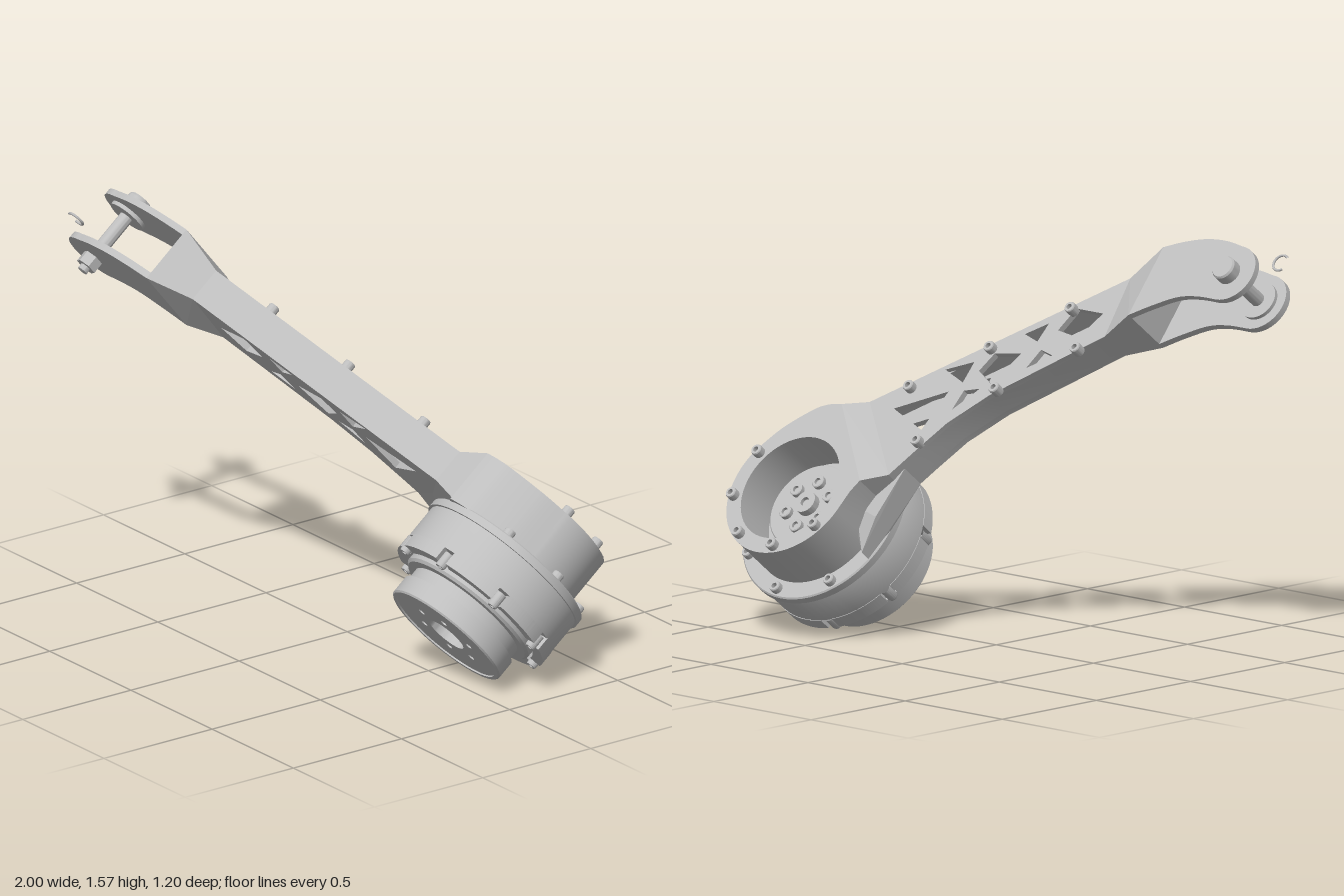
import * as THREE from 'three';
import { toCreasedNormals } from 'three/addons/utils/BufferGeometryUtils.js';
import { ConvexGeometry } from 'three/addons/geometries/ConvexGeometry.js';

const metal = new THREE.MeshStandardMaterial({ color: 0xbebebe });
metal.name = 'satin grey metal';

const CX = 0.65, CY = 0.19;            // motor axis
const PX = -0.885, PY = 1.372;         // fork pivot
const BACK = -0.63, FRONT = -0.49;     // arm faces

const vec = (pts) => pts.map(([x, y]) => new THREE.Vector2(x, y));

export function createModel() {
  const model = new THREE.Group();
  model.name = 'actuatedArm';
  const arm = new THREE.Group();
  arm.name = 'tiltedAssembly';
  arm.rotation.x = THREE.MathUtils.degToRad(39);
  arm.position.set(0, -0.01, -0.008);
  model.add(arm);

  const add = (name, geo, x = 0, y = 0, z = 0) => {
    const mesh = new THREE.Mesh(geo, metal);
    mesh.name = name;
    mesh.position.set(x, y, z);
    arm.add(mesh);
    return mesh;
  };
  // Plate cut from a shape, between two depths
  const plate = (name, shape, z0, z1, x = 0, y = 0) => {
    const geo = new THREE.ExtrudeGeometry(shape, { depth: z1 - z0, bevelEnabled: false, curveSegments: 28 });
    return add(name, toCreasedNormals(geo, 0.5), x, y, z0);
  };
  // Turned part; profile points are [radius, depth], facing front or back
  const turned = (name, pts, x, y, z = 0, facing = 1, seg = 64) => {
    const geo = new THREE.LatheGeometry(vec(pts), seg);
    geo.rotateX(facing * Math.PI / 2);
    return add(name, toCreasedNormals(geo, 0.5), x, y, z);
  };
  // Socket-head screw
  const screw = (name, x, y, z, facing, r = 0.022, h = 0.03) =>
    turned(name, [[r, -0.01], [r, h * 0.85], [r * 0.88, h], [r * 0.5, h], [r * 0.5, h * 0.4], [0, h * 0.4]],
      x, y, z, facing, 18);
  const polar = (r, deg) => {
    const a = THREE.MathUtils.degToRad(deg);
    return [CX + r * Math.cos(a), CY + r * Math.sin(a)];
  };
  const circle = (x, y, r) => new THREE.Path().absarc(x, y, r, 0, Math.PI * 2, true);
  const hull = (name, sections) => {
    const pts = sections.flatMap(([low, high, z0, z1]) => [low, high].flatMap(([x, y]) =>
      [new THREE.Vector3(x, y, z0), new THREE.Vector3(x, y, z1)]));
    return add(name, new ConvexGeometry(pts));
  };

  // Hollow truss beam: two windowed faces and two edge walls
  const lowEdge = [[-0.4, 1.05], [0, 0.73], [0.13, 0.59], [0.21, 0.46], [0.28, 0.34]];
  const highEdge = [[0.545, 0.615], [0.15, 0.908], [-0.38, 1.3]];
  const beam = new THREE.Shape(vec([...lowEdge, ...highEdge]));
  const windows = [
    [[0.2, 0.715], [0.415, 0.607], [0.235, 0.543]],
    [[0.15, 0.852], [0.267, 0.8], [0.155, 0.762]],
    [[0.06, 0.75], [0.13, 0.73], [0.14, 0.646]],
    [[-0.05, 0.92], [0.075, 0.9], [0.107, 0.82], [0.02, 0.777]],
    [[-0.107, 1.06], [-0.02, 1.0], [-0.096, 0.98]],
    [[-0.2, 0.936], [-0.134, 0.95], [-0.107, 0.865]],
    [[-0.337, 1.14], [-0.2, 1.14], [-0.166, 1.04], [-0.278, 1.026]],
  ];
  windows.forEach((w) => beam.holes.push(new THREE.Path(vec(w))));
  plate('beamBackFace', beam, BACK, BACK + 0.025);
  plate('beamFrontFace', beam, FRONT - 0.025, FRONT);
  const wall = (edge, dx, dy) => plate('beamEdgeWall',
    new THREE.Shape(vec([...edge, ...edge.map(([x, y]) => [x + dx, y + dy]).reverse()])), BACK + 0.02, FRONT - 0.02);
  wall(lowEdge, 0.018, 0.02);
  wall(highEdge, -0.015, -0.02);
  [[0.214, 0.49], [0.38, 0.7], [-0.027, 0.755], [0.096, 0.915], [-0.31, 0.975], [-0.19, 1.13]]
    .forEach(([x, y]) => screw('beamScrew', x, y, BACK, -1));

  // Flared neck leading to the fork
  hull('forkNeck', [
    [[-0.4, 1.05], [-0.38, 1.3], BACK, FRONT],
    [[-0.513, 1.13], [-0.513, 1.425], -0.683, -0.445],
  ]);

  // Two fork prongs
  const prong = new THREE.Shape();
  prong.moveTo(-0.513, 1.13);
  prong.splineThru(vec([[-0.6, 1.185], [-0.7, 1.237], [-0.79, 1.255], [PX, PY - 0.115]]));
  prong.absarc(PX, PY, 0.115, -Math.PI / 2, Math.PI / 2, true);
  prong.splineThru(vec([[-0.8, 1.497], [-0.7, 1.49], [-0.6, 1.462], [-0.513, 1.425]]));
  plate('backProng', prong, -0.683, -0.658);
  plate('frontProng', prong, -0.472, -0.445);

  // Pivot bolt, washers, nut and retaining clip
  turned('pivotBolt', [[0, -0.73], [0.043, -0.73], [0.048, -0.722], [0.048, -0.675], [0.027, -0.675],
    [0.027, -0.44], [0.02, -0.44], [0.02, -0.38], [0, -0.375]], PX, PY, 0, 1, 32);
  [[-0.658, -0.643], [-0.487, -0.472]].forEach(([a, b]) =>
    turned('pivotWasher', [[0.026, a], [0.076, a], [0.076, b], [0.026, b]], PX, PY, 0, 1, 40));
  const nut = new THREE.CylinderGeometry(0.042, 0.042, 0.045, 6).toNonIndexed();
  nut.rotateX(Math.PI / 2);
  nut.computeVertexNormals();
  add('pivotNut', nut, PX, PY, -0.4225);
  const clip = add('retainingClip', new THREE.TorusGeometry(0.032, 0.005, 6, 32, Math.PI * 1.5), -0.915, 1.53, -0.5);
  clip.rotation.z = -Math.PI * 0.75;

  // Ramp from the beam up to the thicker head
  hull('headRamp', [
    [[0.28, 0.34], [0.545, 0.615], BACK, FRONT],
    [[0.34, 0.27], [0.61, 0.56], -0.69, -0.475],
  ]);

  // Hollow head around the motor
  const head = new THREE.Shape();
  head.absarc(CX, CY, 0.28, Math.PI * 1.06, Math.PI * 2.15, false);
  head.splineThru(vec([[0.83, 0.42], [0.73, 0.515], [0.67, 0.548], [0.61, 0.56]]));
  head.lineTo(0.34, 0.27);
  head.lineTo(0.36, 0.22);
  head.holes.push(circle(CX, CY, 0.217));
  plate('motorHead', head, -0.69, -0.468);
  [212, 255, 299, 343, 27].forEach((d) => screw('headScrew', ...polar(0.252, d), -0.69, -1));

  // Web blending the lower beam edge into the flange
  hull('flangeWeb', [
    [[0.25, 0.39], [0.4, 0.46], -0.6, FRONT],
    [[0.3, 0.19], [0.42, 0.22], -0.57, -0.468],
    [[0.33, 0.06], [0.41, 0.15], -0.52, -0.468],
  ]);

  // Mounting flange
  turned('mountFlange', [[0.217, -0.474], [0.345, -0.474], [0.35, -0.469], [0.35, -0.44], [0.217, -0.44]], CX, CY);
  [51, 6, -39, -84, -129].forEach((d) => screw('flangeScrew', ...polar(0.318, d), -0.47, -1));

  // Motor body with stepped front and output drum
  turned('motorBody', [[0, -0.575], [0.018, -0.575], [0.018, -0.59], [0.045, -0.59], [0.045, -0.56], [0.17, -0.56],
    [0.175, -0.555], [0.175, -0.5], [0.216, -0.5], [0.216, -0.45], [0.335, -0.45], [0.34, -0.44], [0.34, -0.3],
    [0.285, -0.3], [0.285, -0.235], [0.275, -0.225], [0.24, -0.225], [0.24, -0.176], [0.252, -0.176],
    [0.252, -0.106], [0.246, -0.1], [0.232, -0.1], [0.232, -0.155], [0.08, -0.155], [0.08, -0.25], [0, -0.25]], CX, CY);
  for (let i = 0; i < 6; i++) screw('rotorScrew', ...polar(0.095, i * 60 + 30), -0.56, -1, 0.026, 0.02);

  // Output face with bolt circle
  const face = new THREE.Shape().absarc(0, 0, 0.232, 0, Math.PI * 2, false);
  face.holes.push(circle(0, 0, 0.08));
  for (let i = 0; i < 6; i++) {
    const a = THREE.MathUtils.degToRad(i * 60 - 4);
    face.holes.push(circle(0.128 * Math.cos(a), 0.128 * Math.sin(a), 0.014));
  }
  plate('outputFace', face, -0.15, -0.106, CX, CY);

  // Front rim arcs with a narrow screw slot between each pair
  const rim = (r0, r1, a0, a1) => {
    const s = new THREE.Shape();
    s.absarc(0, 0, r1, a0, a1, false);
    s.absarc(0, 0, r0, a1, a0, true);
    return s;
  };
  for (let i = 0; i < 8; i++) {
    const deg = 29 + i * 45;
    const mid = THREE.MathUtils.degToRad(deg + 22.5);
    plate('rimSegment', rim(0.295, 0.342, mid - 0.32, mid + 0.32), -0.302, -0.247, CX, CY);
    screw('rimScrew', ...polar(0.32, deg), -0.28, 1, 0.02, 0.05);
  }
  return model;
}
